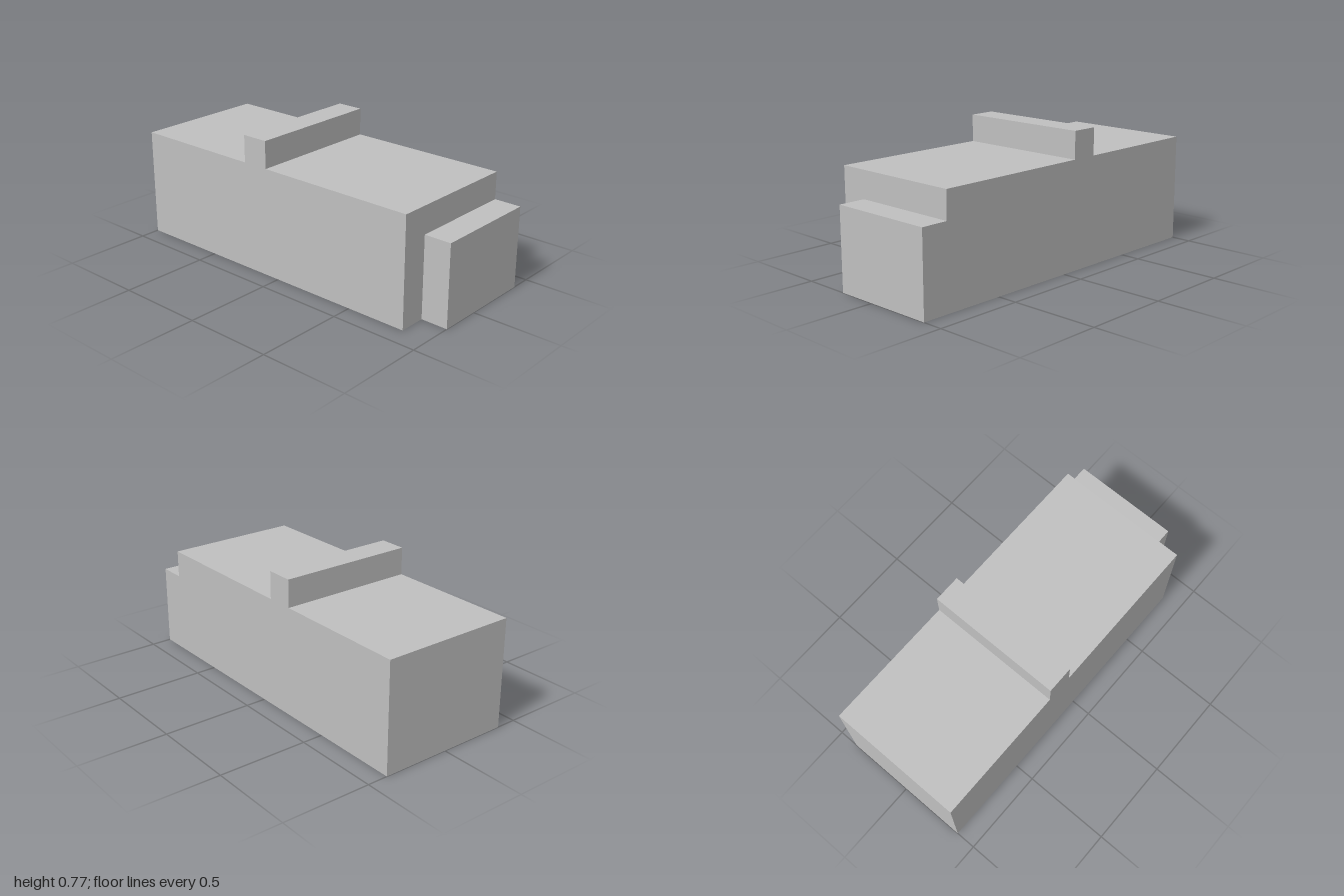
import * as THREE from 'three';

// The whole model sits on a grid of 5 x 5 x 13 cells
const U = 2 / 13;

export function createModel() {
  const group = new THREE.Group();
  const grey = new THREE.MeshStandardMaterial({ color: 0xbfbfbf });
  grey.name = 'lightGrey';

  // Box given by its minimum and maximum corners, in cells
  function block(name, [x0, y0, z0], [x1, y1, z1]) {
    const geometry = new THREE.BoxGeometry((x1 - x0) * U, (y1 - y0) * U, (z1 - z0) * U);
    const mesh = new THREE.Mesh(geometry, grey);
    mesh.name = name;
    mesh.position.set((x0 + x1) / 2 * U, (y0 + y1) / 2 * U, (z0 + z1) / 2 * U);
    group.add(mesh);
  }

  // Long main body
  block('body', [-2.5, 0, -6.5], [2.5, 4, 5.5]);
  // Raised bar across the top
  block('topRidge', [-2.5, 4, -1.5], [2.5, 5, -0.5]);
  // Lower step at the front, flush with the left side
  block('frontStep', [-1.5, 0, 5.5], [2.5, 3, 6.5]);

  return group;
}
